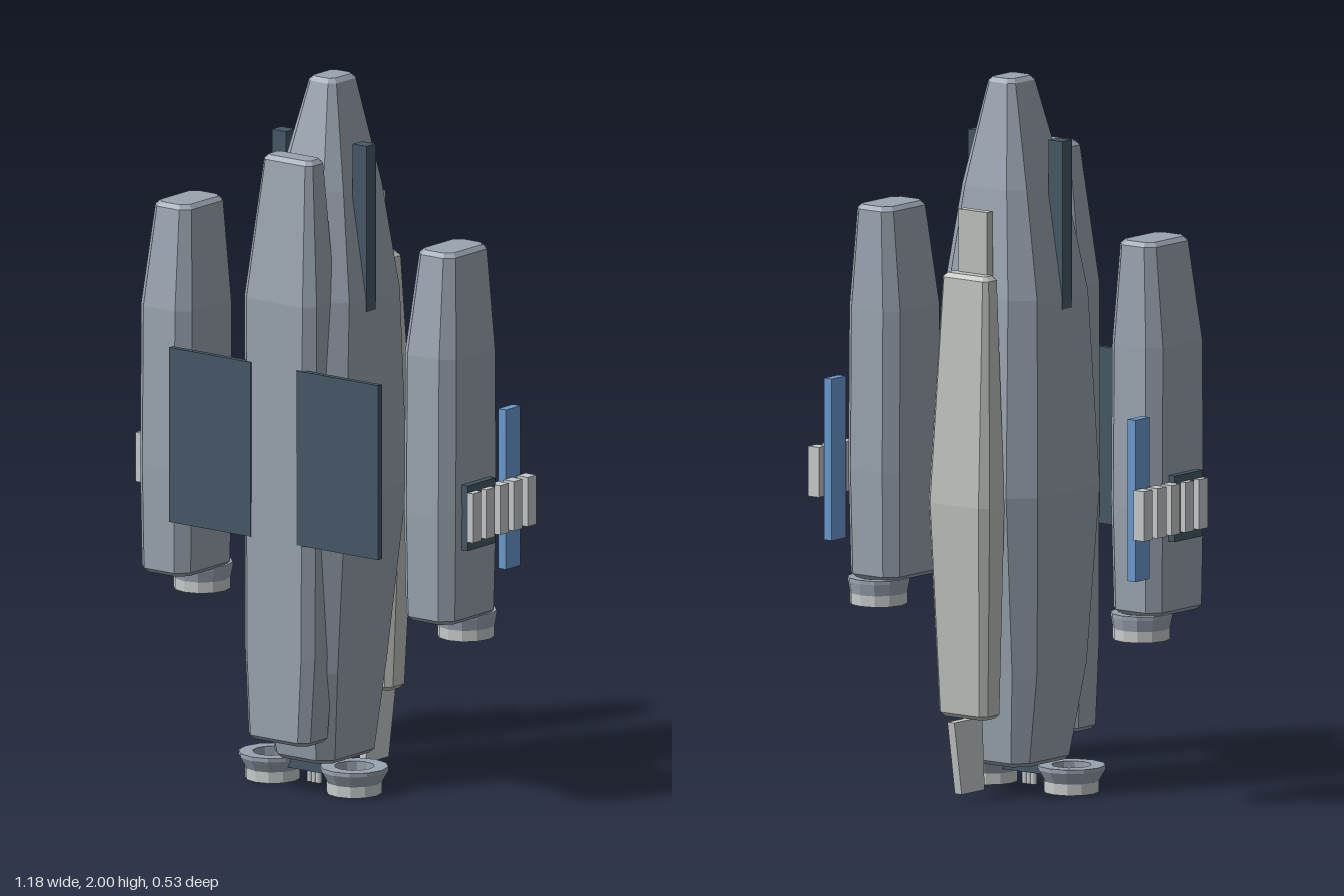
import * as THREE from 'three';

const mat = (name, color) => {
  const m = new THREE.MeshStandardMaterial({ color });
  m.name = name;
  return m;
};

// Bevelled hull lofted through stations [y, halfWidth, zBack, zFront], bottom to top
function loft(stations, chamfer, bevel = 0.012) {
  const inset = ([y, w, b, f], dy) => [
    [y + dy, w, b, f],
    [y, w - bevel, b + bevel, f - bevel],
  ];
  const [b1, b0] = inset(stations[0], bevel);
  const [t1, t0] = inset(stations[stations.length - 1], -bevel);
  const rows = [b0, b1, ...stations.slice(1, -1), t1, t0];
  const rings = rows.map(([y, w, b, f]) => {
    const c = Math.min(w, (f - b) / 2) * chamfer;
    return [
      [w, b + c], [w, f - c], [w - c, f], [c - w, f],
      [-w, f - c], [-w, b + c], [c - w, b], [w - c, b],
    ].map(([x, z]) => [x, y, z]);
  });
  const pos = [];
  const tri = (...p) => p.forEach((v) => pos.push(...v));
  for (let i = 0; i < rings.length - 1; i++) {
    for (let j = 0; j < 8; j++) {
      const k = (j + 1) % 8;
      const lo = rings[i], hi = rings[i + 1];
      tri(lo[j], hi[j], lo[k]);
      tri(lo[k], hi[j], hi[k]);
    }
  }
  const bottom = rings[0], top = rings[rings.length - 1];
  for (let j = 1; j < 7; j++) {
    tri(bottom[0], bottom[j], bottom[j + 1]);
    tri(top[0], top[j + 1], top[j]);
  }
  const g = new THREE.BufferGeometry();
  g.setAttribute('position', new THREE.Float32BufferAttribute(pos, 3));
  g.computeVertexNormals();
  return g;
}

// Faceted closed ring turned about y
function ring(profile) {
  const pts = [...profile, profile[0]].map(([r, y]) => new THREE.Vector2(r, y));
  const g = new THREE.LatheGeometry(pts, 12).toNonIndexed();
  g.computeVertexNormals();
  return g;
}

export function createModel() {
  const hull = mat('hull grey', 0x9aa4b0);
  const pale = mat('pale grey', 0xc6cbca);
  const spineMat = mat('spine grey', 0xbdc2bd);
  const dark = mat('dark slate', 0x455866);
  const blue = mat('panel blue', 0x6a9bd0);
  const glow = mat('engine glow', 0x35a9cc);

  const model = new THREE.Group();
  model.name = 'spacecraft';

  const add = (name, geo, material, parent = model) => {
    const m = new THREE.Mesh(geo, material);
    m.name = name;
    parent.add(m);
    return m;
  };
  // Box given by its minimum and maximum corners
  const box = (name, x0, x1, y0, y1, z0, z1, material, parent) => {
    const g = new THREE.BoxGeometry(Math.abs(x1 - x0), y1 - y0, z1 - z0);
    g.translate((x0 + x1) / 2, (y0 + y1) / 2, (z0 + z1) / 2);
    return add(name, g, material, parent);
  };
  // Engine nozzle: flared collar, pale lip and glowing disc
  const nozzle = (name, x, y, z, rTop, rLip, h) => {
    const g = new THREE.Group();
    g.name = name;
    g.position.set(x, y, z);
    const ri = rLip * 0.72, lip = h * 0.42;
    add('collar', ring([[ri, lip], [rLip, lip], [rTop, h * 0.85], [rTop, h], [ri, h]]), hull, g);
    add('lip', ring([[ri, 0], [rLip, 0], [rLip, lip], [ri, lip]]), pale, g);
    const disc = new THREE.CylinderGeometry(ri, ri, 0.008, 12);
    disc.translate(0, lip * 0.4, 0);
    add('glowDisc', disc, glow, g);
    model.add(g);
  };

  // Main fuselage
  add('fuselage', loft([
    [0.08, 0.105, -0.085, 0.165],
    [0.35, 0.14, -0.108, 0.21],
    [0.85, 0.177, -0.165, 0.235],
    [1.4, 0.163, -0.145, 0.195],
    [1.7, 0.113, -0.11, 0.14],
    [2.0, 0.048, -0.055, 0.065],
  ], 0.35), hull);

  // Raised hull along the front
  add('frontHull', loft([
    [0.15, 0.108, 0.14, 0.267],
    [0.4, 0.122, 0.13, 0.267],
    [1.4, 0.126, 0.125, 0.265],
    [1.8, 0.085, 0.14, 0.217],
  ], 0.4), hull);

  // Back spine with its top plate and tail fin
  add('spine', loft([
    [0.23, 0.085, -0.225, -0.14],
    [0.83, 0.107, -0.25, -0.14],
    [1.47, 0.08, -0.21, -0.15],
  ], 0.4), spineMat);
  box('spinePlate', -0.05, 0.05, 1.4, 1.645, -0.168, -0.142, spineMat);
  const finShape = new THREE.Shape([
    [-0.14, 0.225], [-0.265, 0.225], [-0.232, 0.02], [-0.13, 0.02],
  ].map(([z, y]) => new THREE.Vector2(-z, y)));
  const fin = new THREE.ExtrudeGeometry(finShape, { depth: 0.024, bevelEnabled: false });
  fin.translate(0, 0, -0.012);
  fin.rotateY(Math.PI / 2);
  add('tailFin', fin, pale);

  // Thruster mount between the main nozzles
  box('thrusterMount', -0.068, 0.068, 0.045, 0.085, 0.05, 0.12, dark);
  for (const x of [-0.015, 0, 0.015]) {
    const g = new THREE.CylinderGeometry(0.009, 0.009, 0.04, 8);
    g.translate(x, 0.027, 0.085);
    add('smallThruster', g, pale);
  }

  for (const s of [-1, 1]) {
    const side = s > 0 ? 'left' : 'right';
    // Side pod
    const pod = add(side + 'Pod', loft([
      [0.545, 0.085, -0.05, 0.19],
      [0.85, 0.09, -0.057, 0.194],
      [1.3, 0.089, -0.053, 0.19],
      [1.59, 0.063, -0.04, 0.15],
    ], 0.38), hull);
    pod.position.x = s * 0.462;
    nozzle(side + 'PodNozzle', s * 0.462, 0.475, -0.002, 0.086, 0.08, 0.074);
    nozzle(side + 'MainNozzle', s * 0.143, 0, 0.09, 0.095, 0.077, 0.075);

    // Front panels and shoulder antennas
    box(side + 'FrontPanel', s * 0.08, s * 0.366, 0.725, 1.22, 0.252, 0.269, dark);
    box(side + 'Antenna', s * 0.117, s * 0.166, 1.36, 1.83, 0.022, 0.064, dark);

    // Outer equipment: blue bar, dark backing plate and row of blocks
    box(side + 'BlueBar', s * 0.52, s * 0.547, 0.66, 1.113, -0.137, -0.073, blue);
    box(side + 'BlockBacking', s * 0.55, s * 0.572, 0.755, 0.94, 0.006, 0.132, dark);
    for (let i = 0; i < 5; i++) {
      const z = -0.134 + i * 0.0615;
      box(side + 'Block', s * 0.553, s * 0.59, 0.78, 0.92, z - 0.019, z + 0.019, pale);
    }
  }
  return model;
}
